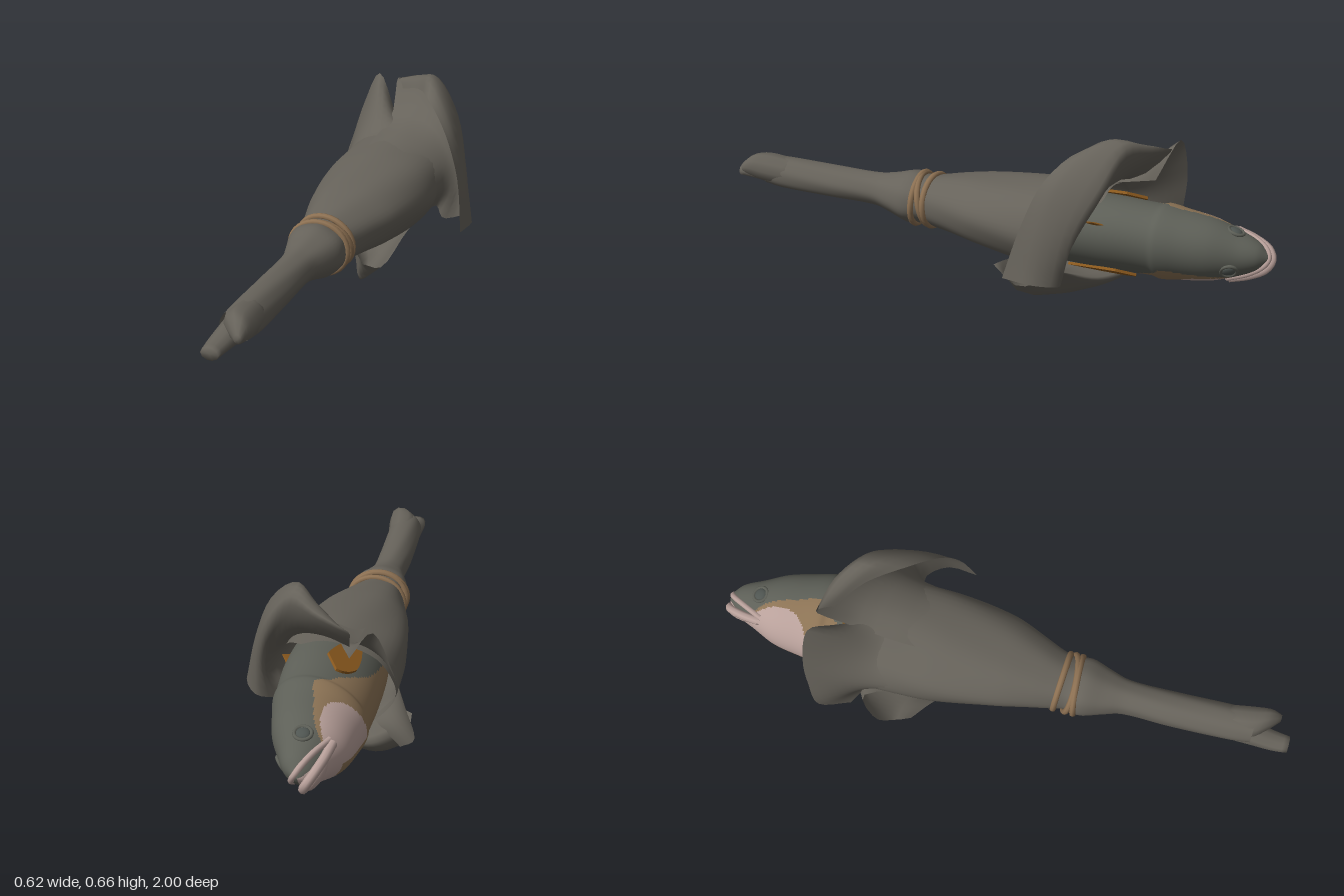
import * as THREE from 'three';

const mat = (name, color, side = THREE.FrontSide) => {
  const m = new THREE.MeshStandardMaterial({ color, side });
  m.name = name;
  return m;
};
const V = (x, y, z) => new THREE.Vector3(x, y, z);

// Smooth lookup in a table of cross-sections whose first column is z
function sample(table, z) {
  let i = 0;
  while (i < table.length - 2 && z > table[i + 1][0]) i++;
  const a = table[i], b = table[i + 1], p = table[Math.max(i - 1, 0)], n = table[Math.min(i + 2, table.length - 1)];
  const d = b[0] - a[0], t = Math.min(Math.max((z - a[0]) / d, 0), 1), t2 = t * t, t3 = t2 * t;
  return a.map((v, k) => {
    const ma = (b[k] - p[k]) / (b[0] - p[0]) * d, mb = (n[k] - v) / (n[0] - a[0]) * d;
    return (2 * t3 - 3 * t2 + 1) * v + (t3 - 2 * t2 + t) * ma + (3 * t2 - 2 * t3) * b[k] + (t3 - t2) * mb;
  });
}

// Grid of points to a surface; pick(i, j) chooses a material slot for each cell
function surface(rows, closed, pick = () => 0, slots = 1) {
  const n = rows[0].length, pos = [], lists = Array.from({ length: slots }, () => []);
  rows.forEach(r => r.forEach(p => pos.push(p.x, p.y, p.z)));
  for (let i = 0; i < rows.length - 1; i++) {
    for (let j = 0; j < (closed ? n : n - 1); j++) {
      const k = (j + 1) % n, a = i * n + j, b = i * n + k, c = a + n, d = b + n;
      lists[pick(i, j)].push(a, b, c, b, d, c);
    }
  }
  const g = new THREE.BufferGeometry();
  g.setAttribute('position', new THREE.Float32BufferAttribute(pos, 3));
  g.setIndex(lists.flat());
  let start = 0;
  if (slots > 1) lists.forEach((l, s) => { g.addGroup(start, l.length, s); start += l.length; });
  g.computeVertexNormals();
  return g;
}

// Loose cloth sheet through a few rows of control points
function sheet(rows) {
  const fine = rows.map(r => new THREE.CatmullRomCurve3(r, false, 'centripetal').getPoints(20));
  const cols = fine[0].map((_, j) => new THREE.CatmullRomCurve3(fine.map(r => r[j]), false, 'centripetal').getPoints(16));
  return surface(cols, false);
}

// Wrapped cloth: z, centre x, centre y, half width, half height
const WRAP = [
  [-0.5, -0.02, 0.31, 0.2, 0.155], [-0.35, -0.02, 0.31, 0.2, 0.15], [-0.2, -0.02, 0.31, 0.195, 0.143],
  [0, -0.022, 0.31, 0.162, 0.12], [0.12, -0.03, 0.305, 0.125, 0.103], [0.19, -0.035, 0.3, 0.103, 0.092],
  [0.235, -0.035, 0.3, 0.093, 0.084], [0.29, -0.035, 0.3, 0.101, 0.093], [0.36, -0.035, 0.302, 0.08, 0.073],
  [0.43, -0.035, 0.305, 0.06, 0.058], [0.6, -0.035, 0.305, 0.06, 0.057], [0.8, -0.03, 0.31, 0.06, 0.057], [0.87, -0.028, 0.315, 0.055, 0.052]
];
function wrapPoint(z, a, swell = 1) {
  const s = sample(WRAP, z), f = swell + 0.018 * Math.sin(3 * a + 4 * z) + 0.012 * Math.sin(7 * a - 9 * z);
  return V(s[1] + Math.cos(a) * s[3] * f, s[2] + Math.sin(a) * s[4] * f, z);
}
// Row of points along the wrap between two angles in degrees
const rim = (z, swell, from, to, n = 6) => Array.from({ length: n }, (_, i) =>
  wrapPoint(z, THREE.MathUtils.degToRad(from + (to - from) * i / (n - 1)), swell));

// Fish cross-sections: z, half width, half height, rise of the centre
const FISH = [
  [-0.985, 0.014, 0.018, -0.008], [-0.95, 0.046, 0.055, -0.008], [-0.88, 0.076, 0.088, -0.007], [-0.8, 0.103, 0.125, -0.005],
  [-0.7, 0.118, 0.148, 0], [-0.64, 0.126, 0.159, 0.004], [-0.615, 0.12, 0.157, 0.006], [-0.45, 0.124, 0.165, 0.012],
  [-0.25, 0.12, 0.155, 0.012], [-0.1, 0.1, 0.12, 0.01]
];

export function createModel() {
  const cloth = mat('cloth', 0x66625a, THREE.DoubleSide), skin = mat('fish skin', 0x5d5f57, THREE.DoubleSide);
  const tan = mat('tan belly', 0x8c7355, THREE.DoubleSide), pink = mat('pale pink', 0xb8a09a, THREE.DoubleSide);
  const orange = mat('orange fin', 0x8c5a1e), rope = mat('rope', 0x8c7052), eyeGrey = mat('eye grey', 0x4f5551);
  const model = new THREE.Group();
  const add = (parent, name, geometry, material) => {
    const m = new THREE.Mesh(geometry, material);
    m.name = name;
    parent.add(m);
    return m;
  };

  // Cloth body and handle, cut further back at the lower right of the rim
  const rows = [];
  for (let i = 0; i <= 72; i++) {
    const t = i / 72, row = [];
    for (let j = 0; j < 48; j++) {
      const a = j / 48 * Math.PI * 2;
      const rimZ = -0.45 + 0.2 * Math.max(0, Math.cos(a + 0.5));
      row.push(wrapPoint(rimZ + t * (0.87 - rimZ), a));
    }
    rows.push(row);
  }
  add(model, 'clothWrap', surface(rows, true), cloth);

  // Two gathered ends of the handle
  const lobe = (name, sections) => {
    const rings = [];
    for (let i = 0; i <= 12; i++) {
      const s = sample(sections, sections[0][0] + (sections.at(-1)[0] - sections[0][0]) * i / 12);
      rings.push(Array.from({ length: 10 }, (_, j) => {
        const a = j / 10 * Math.PI * 2;
        return V(s[1] + Math.cos(a) * s[3], s[2] + Math.sin(a) * s[4], s[0]);
      }));
    }
    const s = sections.at(-1);
    rings.push(rings.at(-1).map(() => V(s[1], s[2], s[0])));
    add(model, name, surface(rings, true), cloth);
  };
  lobe('lowerHandleEnd', [[0.78, -0.035, 0.3, 0.053, 0.048], [0.88, -0.045, 0.293, 0.042, 0.036], [0.95, -0.05, 0.287, 0.036, 0.026], [1, -0.05, 0.285, 0.03, 0.022]]);
  lobe('upperHandleEnd', [[0.78, -0.025, 0.315, 0.053, 0.052], [0.87, -0.015, 0.325, 0.055, 0.053], [0.92, 0.005, 0.332, 0.036, 0.04], [0.955, 0.02, 0.325, 0.012, 0.016]]);

  // Flared left collar
  add(model, 'leftCollar', sheet([
    rim(-0.28, 0.97, 95, 230),
    rim(-0.42, 1.03, 95, 230),
    [V(-0.1, 0.475, -0.57), V(-0.185, 0.597, -0.625), V(-0.25, 0.47, -0.635), V(-0.285, 0.35, -0.62), V(-0.31, 0.23, -0.59), V(-0.25, 0.14, -0.5)]
  ]), cloth);

  // Large right collar, rolled outward and back
  add(model, 'rightCollar', sheet([
    rim(-0.24, 0.97, 112, -30),
    rim(-0.34, 1.03, 112, -30),
    [V(-0.09, 0.48, -0.51), V(0, 0.51, -0.5), V(0.1, 0.49, -0.46), V(0.18, 0.4, -0.41), V(0.21, 0.29, -0.37), V(0.18, 0.19, -0.34)],
    [V(-0.11, 0.59, -0.62), V(0, 0.625, -0.59), V(0.09, 0.64, -0.53), V(0.18, 0.53, -0.48), V(0.235, 0.38, -0.41), V(0.25, 0.2, -0.37)],
    [V(-0.09, 0.585, -0.6), V(0.01, 0.635, -0.53), V(0.08, 0.665, -0.47), V(0.2, 0.55, -0.36), V(0.265, 0.39, -0.32), V(0.305, 0.215, -0.3)],
    [V(-0.07, 0.57, -0.57), V(0.02, 0.61, -0.49), V(0.1, 0.62, -0.38), V(0.2, 0.535, -0.29), V(0.265, 0.4, -0.24), V(0.3, 0.22, -0.19)]
  ]), cloth);

  // Lower flap, folded under and curled back up at its end
  add(model, 'lowerFlap', sheet([
    rim(-0.22, 0.97, 215, 300, 5),
    rim(-0.32, 1.03, 215, 300, 5),
    [V(-0.23, 0.175, -0.46), V(-0.15, 0.15, -0.5), V(-0.07, 0.135, -0.48), V(0.01, 0.135, -0.42), V(0.08, 0.165, -0.32)],
    [V(-0.28, 0.125, -0.4), V(-0.18, 0.1, -0.47), V(-0.08, 0.085, -0.43), V(0, 0.09, -0.37), V(0.06, 0.13, -0.27)],
    [V(-0.25, 0.07, -0.34), V(-0.16, 0.045, -0.33), V(-0.09, 0.025, -0.24), V(-0.045, 0.001, -0.115), V(0.03, 0.06, -0.13)],
    [V(-0.25, 0.14, -0.28), V(-0.17, 0.135, -0.22), V(-0.1, 0.13, -0.14), V(-0.03, 0.12, -0.06), V(0, 0.11, -0.03)]
  ]), cloth);

  // Rope turns around the neck
  [[0.205, 0.05, -0.06], [0.262, -0.05, 0.05], [0.235, 0.22, 0.1]].forEach(([z, rx, ry], i) => {
    const r = add(model, 'ropeTurn' + (i + 1), new THREE.TorusGeometry(0.1, 0.011, 8, 32), rope);
    r.position.set(-0.035, 0.3, z);
    r.rotation.set(rx, ry, 0);
    r.scale.y = 0.91;
  });

  // Fish, rolled well over onto its side
  const fish = new THREE.Group();
  fish.name = 'fish';
  fish.position.set(-0.028, 0.298, 0);
  fish.rotation.z = -Math.PI / 3;
  model.add(fish);

  const N = 128, STEPS = 150, zAt = i => -0.985 + 0.885 * i / STEPS;
  const body = Array.from({ length: STEPS + 1 }, (_, i) => {
    const s = sample(FISH, zAt(i));
    return Array.from({ length: N }, (_, j) => {
      const a = j / N * Math.PI * 2;
      return V(Math.cos(a) * s[1], Math.sin(a) * s[2] + s[3], zAt(i));
    });
  });
  body.unshift(body[0].map(() => V(0, -0.008, -0.99)));
  // Upper limits of the tan belly and pink cheek: z, angle from the back ridge
  const TAN = [[-0.9, 2], [-0.85, 1.4], [-0.8, 1.2], [-0.72, 1.1], [-0.655, 1.02], [-0.62, 1.3], [-0.58, 1.5], [-0.53, 1.78], [-0.45, 2.1], [-0.25, 2.4]];
  const PINK = [[-0.99, 2.1], [-0.9, 1.95], [-0.84, 1.5], [-0.8, 1.38], [-0.74, 1.42], [-0.7, 1.65], [-0.67, 2.2], [-0.65, 3.2]];
  const pick = (i, j) => {
    const z = zAt(i - 0.5), phi = Math.acos(Math.sin((j + 0.5) / N * Math.PI * 2));
    if (z < -0.65 && phi > sample(PINK, z)[1] && (z < -0.84 || phi < 2.85)) return 2;
    return z > -0.9 && phi > sample(TAN, z)[1] ? 1 : 0;
  };
  add(fish, 'fishBody', surface(body, true, pick, 3), [skin, tan, pink]);

  // Thick lips around the open mouth
  const lip = (name, half, radius) => {
    const left = half.map(p => V(...p)), right = half.slice(0, -1).map(p => V(-p[0], p[1], p[2])).reverse();
    add(fish, name, new THREE.TubeGeometry(new THREE.CatmullRomCurve3([...left, ...right]), 40, radius, 8), pink);
  };
  lip('upperLip', [[0.083, -0.036, -0.85], [0.058, -0.01, -0.925], [0.028, 0.002, -0.97], [0, 0.004, -0.983]], 0.01);
  lip('lowerLip', [[0.08, -0.049, -0.855], [0.06, -0.047, -0.92], [0.032, -0.042, -0.97], [0, -0.04, -0.985]], 0.015);
  const jaw = add(fish, 'lowerJaw', new THREE.SphereGeometry(1, 20, 12), pink);
  jaw.scale.set(0.055, 0.026, 0.085);
  jaw.position.set(0, -0.052, -0.9);

  // Low fin on the back ridge
  const ridge = add(fish, 'backFin', new THREE.ConeGeometry(0.04, 0.03, 12), orange);
  ridge.scale.x = 0.15;
  ridge.position.set(0, 0.185, -0.44);

  // Teeth, eyes and side fins, mirrored
  for (const side of [1, -1]) {
    for (let k = 0; k < 6; k++) {
      const tooth = add(fish, 'tooth', new THREE.ConeGeometry(0.004, 0.014, 5), pink);
      tooth.position.set(side * (0.075 - 0.009 * k), -0.04 + 0.006 * k, -0.868 - 0.019 * k);
      tooth.rotation.z = Math.PI;
    }
    const eye = new THREE.Group();
    eye.name = side > 0 ? 'leftEye' : 'rightEye';
    eye.position.set(side * 0.066, 0.041, -0.87);
    eye.rotation.set(-0.45, side * (Math.PI / 2 + 0.35), 0, 'YXZ');
    fish.add(eye);
    add(eye, 'eyeRing', new THREE.TorusGeometry(0.026, 0.006, 8, 24), skin);
    add(eye, 'eyeball', new THREE.SphereGeometry(0.022, 16, 12), eyeGrey).scale.z = 0.4;

    const outline = new THREE.Shape();
    outline.moveTo(-0.31, -0.03);
    outline.quadraticCurveTo(-0.42, -0.07, -0.5, -0.06);
    outline.quadraticCurveTo(-0.555, -0.04, -0.56, 0);
    outline.lineTo(-0.5, 0.045);
    outline.quadraticCurveTo(-0.41, 0.03, -0.31, -0.03);
    const fin = add(fish, side > 0 ? 'leftFin' : 'rightFin', new THREE.ExtrudeGeometry(outline, { depth: 0.009, bevelEnabled: false, curveSegments: 8 }), orange);
    fin.rotation.y = -Math.PI / 2;
    fin.position.set(side > 0 ? 0.132 : -0.122, side > 0 ? 0 : 0.04, 0);
  }
  return model;
}
